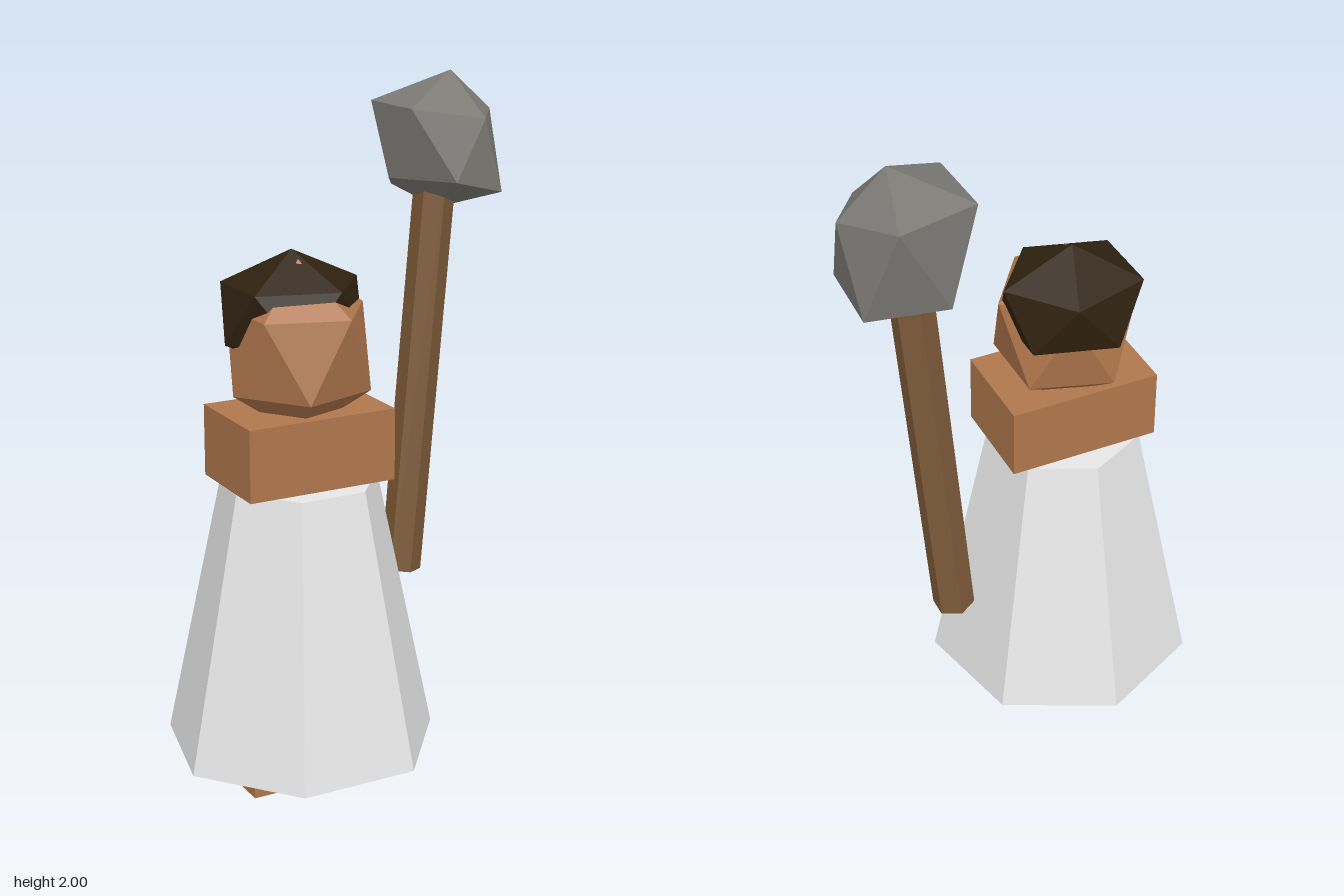
import * as THREE from 'three';
import { ConvexGeometry } from 'three/addons/geometries/ConvexGeometry.js';

const material = (name, color) => {
  const m = new THREE.MeshStandardMaterial({ color, flatShading: true });
  m.name = name;
  return m;
};

// Twenty-sided ball standing on one corner: two poles and two rings of five
function facetedBall(radius) {
  const points = [new THREE.Vector3(0, radius, 0), new THREE.Vector3(0, -radius, 0)];
  for (let i = 0; i < 5; i++) {
    for (const side of [1, -1]) {
      const a = THREE.MathUtils.degToRad(18 * side + 72 * i);
      points.push(new THREE.Vector3(Math.sin(a) * 0.894, side * 0.447, Math.cos(a) * 0.894).multiplyScalar(radius));
    }
  }
  return new ConvexGeometry(points);
}

export function createModel() {
  const skin = material('skin', 0xb0774d);
  const cloth = material('white cloth', 0xe8e8e8);
  const hairColor = material('dark brown hair', 0x2f210f);
  const wood = material('wood', 0x7f5b39);
  const rock = material('grey stone', 0x7c7a75);

  const model = new THREE.Group();
  model.name = 'robedFigureWithClub';
  const add = (name, geometry, mat, x, y, z) => {
    const mesh = new THREE.Mesh(geometry, mat);
    mesh.name = name;
    mesh.position.set(x, y, z);
    model.add(mesh);
    return mesh;
  };

  const bodyX = -0.163, bodyZ = 0.019;

  // Legs, mostly hidden under the robe
  for (const side of [1, -1]) {
    add(side > 0 ? 'leftLeg' : 'rightLeg', new THREE.BoxGeometry(0.185, 0.3, 0.298), skin,
      bodyX + side * 0.135, 0.15, bodyZ);
  }

  // Seven-sided robe with a flat panel in front
  add('robe', new THREE.CylinderGeometry(0.23, 0.403, 0.81, 7, 1, false, Math.PI), cloth, bodyX, 0.49, bodyZ);

  // Shoulders, head and hair
  add('shoulders', new THREE.BoxGeometry(0.455, 0.21, 0.298), skin, bodyX, 1.0, bodyZ);
  add('head', facetedBall(0.229), skin, bodyX, 1.274, bodyZ).scale.y = 1.11;
  add('hair', facetedBall(0.2325), hairColor, bodyX, 1.376, -0.022).scale.set(1, 0.75, 0.9);

  // Leaning six-sided club handle
  const handle = add('clubHandle', new THREE.CylinderGeometry(0.061, 0.061, 1.24, 6), wood, 0.32, 1.107, -0.14);
  handle.rotation.z = -0.088;

  // Irregular stone club head
  const stonePoints = [
    [0.413, 2.0, -0.13],
    [0.46, 1.87, -0.01], [0.555, 1.88, -0.14], [0.46, 1.92, -0.325], [0.22, 1.91, -0.255], [0.225, 1.91, -0.03],
    [0.34, 1.7, 0.035], [0.53, 1.65, -0.025], [0.54, 1.65, -0.26], [0.315, 1.65, -0.3], [0.215, 1.7, -0.14],
    [0.39, 1.595, -0.16],
  ].map((p) => new THREE.Vector3(...p));
  add('clubStone', new ConvexGeometry(stonePoints), rock, 0, 0, 0);

  return model;
}
